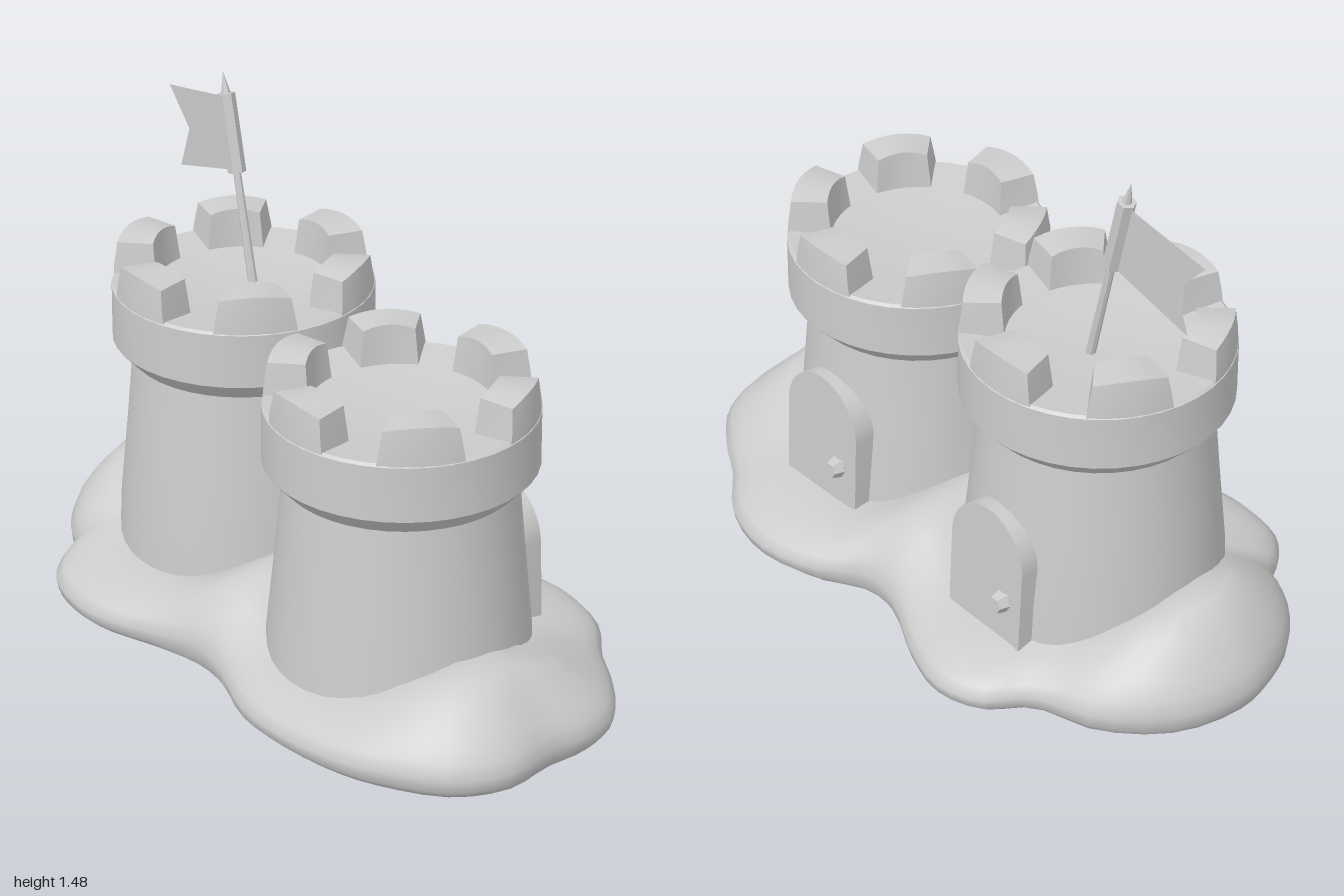
import * as THREE from 'three';
import { toCreasedNormals } from 'three/addons/utils/BufferGeometryUtils.js';

const stone = new THREE.MeshStandardMaterial({ color: 0xcccccc, side: THREE.DoubleSide });
stone.name = 'pale grey';

function part(name, geometry, parent, crease = 0.7) {
  const mesh = new THREE.Mesh(toCreasedNormals(geometry, crease), stone);
  mesh.name = name;
  parent.add(mesh);
  return mesh;
}

// Ground outline as x, z pairs
const OUTLINE = [
  0, -1, 0.2, -0.95, 0.36, -0.8, 0.43, -0.62, 0.54, -0.53, 0.58, -0.4, 0.54, -0.25, 0.46, -0.08,
  0.45, 0.05, 0.53, 0.2, 0.57, 0.38, 0.53, 0.55, 0.43, 0.68, 0.36, 0.8, 0.25, 0.93, 0.13, 0.97,
  0, 0.97, -0.15, 0.99, -0.3, 0.93, -0.42, 0.78, -0.48, 0.65, -0.52, 0.45, -0.52, 0.3, -0.47, 0.13,
  -0.46, 0, -0.5, -0.15, -0.57, -0.33, -0.58, -0.45, -0.55, -0.58, -0.48, -0.66, -0.41, -0.7,
  -0.36, -0.8, -0.25, -0.92, -0.12, -0.98,
];

// Mound height: low beside the doors, swelling in front, between and behind
function moundHeight(x, z) {
  const bump = (cx, cz, h, w, d) => h * Math.exp(-(((x - cx) / w) ** 2) - ((z - cz) / d) ** 2);
  return 0.135 + bump(-0.08, 0.76, 0.12, 0.3, 0.2) + bump(0, 0, 0.125, 0.6, 0.15)
    + bump(-0.03, -0.8, 0.155, 0.36, 0.2);
}

function moundGeometry() {
  const pts = [];
  for (let i = 0; i < OUTLINE.length; i += 2) pts.push(new THREE.Vector3(OUTLINE[i], 0, OUTLINE[i + 1]));
  const edge = new THREE.CatmullRomCurve3(pts, true).getPoints(96).slice(0, 96);
  const n = edge.length;
  // Each ring: inset towards the spine, share of the mound height
  const rings = [[1, 0], [0.04, 0], [0.01, 0.12], [0, 0.35], [0.04, 0.55], [0.1, 0.7],
    [0.18, 0.82], [0.28, 0.93], [0.4, 1], [0.6, 1], [1, 1]];
  const pos = [], index = [];
  rings.forEach(([inset, share], r) => edge.forEach((p, i) => {
    const x = THREE.MathUtils.lerp(p.x, -0.02, inset);
    const z = THREE.MathUtils.lerp(p.z, p.z * 0.6, inset);
    pos.push(x, share * moundHeight(x, z), z);
    if (r === 0) return;
    const a = (r - 1) * n + i, b = (r - 1) * n + (i + 1) % n;
    index.push(a, a + n, b, b, a + n, b + n);
  }));
  const g = new THREE.BufferGeometry();
  g.setAttribute('position', new THREE.Float32BufferAttribute(pos, 3));
  g.setIndex(index);
  return g;
}

const lathe = (profile) => new THREE.LatheGeometry(profile.map(([r, y]) => new THREE.Vector2(r, y)), 40);

// Block bent round the tower rim, narrowing upwards
function merlonGeometry(angle) {
  const g = new THREE.BoxGeometry(1, 1, 1, 6, 2, 1);
  const p = g.attributes.position;
  for (let i = 0; i < p.count; i++) {
    const up = p.getY(i) + 0.5, outer = p.getZ(i) > 0;
    const a = angle + p.getX(i) * 2 * (0.335 - 0.055 * up);
    const r = outer ? 0.369 - 0.012 * up * up : 0.245 + 0.01 * up;
    const crown = 0.012 * (1 - 4 * p.getX(i) ** 2) * up;
    p.setXYZ(i, r * Math.sin(a), 0.81 + 0.13 * up + crown, r * Math.cos(a));
  }
  return g;
}

function tower(name, x, z, lift) {
  const g = new THREE.Group();
  g.name = name;
  g.position.set(x, lift, z);
  part('towerWall', lathe([[0.372, 0.04 - lift], [0.362, 0.18], [0.337, 0.42], [0.315, 0.65]]), g);
  part('towerCrown', lathe([[0.28, 0.635], [0.325, 0.638], [0.372, 0.69], [0.37, 0.845],
    [0.362, 0.852], [0.25, 0.838], [0.12, 0.825], [0, 0.82]]), g, 0.6);
  for (let i = 0; i < 6; i++) part('merlon', merlonGeometry(Math.PI / 2 + i * Math.PI / 3), g, 0.5);
  return g;
}

// Arched door with a six-sided knob, facing +x
function door(name, x, z, half, knobZ) {
  const g = new THREE.Group();
  g.name = name;
  g.position.set(x, 0.1, z);
  g.rotation.z = 0.05;
  const s = new THREE.Shape();
  s.moveTo(-half, 0);
  s.lineTo(half, 0);
  s.lineTo(half, 0.27);
  s.absellipse(0, 0.27, half, 0.15, 0, Math.PI, false);
  s.closePath();
  const panel = new THREE.ExtrudeGeometry(s, { depth: 0.12, bevelEnabled: false, curveSegments: 10 });
  part('doorPanel', panel.translate(0, 0, -0.12).rotateY(Math.PI / 2), g);
  const knob = new THREE.CylinderGeometry(0.024, 0.032, 0.03, 6).rotateZ(-Math.PI / 2);
  part('doorKnob', knob, g, 0.3).position.set(0.03, 0.17, knobZ - z);
  const stem = new THREE.CylinderGeometry(0.015, 0.015, 0.04, 6).rotateZ(-Math.PI / 2);
  part('knobStem', stem, g, 0.3).position.set(0.005, 0.17, knobZ - z);
  return g;
}

function flag() {
  const g = new THREE.Group();
  g.name = 'flag';
  // Leaning pole with a thicker sleeve and a pointed tip
  const pole = new THREE.Group();
  pole.name = 'flagPole';
  pole.position.set(0.035, 0.85, -0.4);
  pole.rotation.x = -0.22;
  g.add(pole);
  part('poleShaft', new THREE.CylinderGeometry(0.011, 0.014, 0.4, 8), pole).position.y = 0.2;
  part('poleSleeve', new THREE.CylinderGeometry(0.026, 0.026, 0.225, 6), pole, 0.3).position.y = 0.472;
  part('poleTip', new THREE.ConeGeometry(0.014, 0.065, 6), pole, 0.3).position.y = 0.615;
  // Swallow-tailed cloth
  const s = new THREE.Shape([[0.52, 1.41], [0.81, 1.36], [0.715, 1.255], [0.76, 1.13], [0.48, 1.205]]
    .map(([a, b]) => new THREE.Vector2(a, b)));
  part('flagCloth', new THREE.ShapeGeometry(s).rotateY(Math.PI / 2), g).position.x = 0.037;
  return g;
}

export function createModel() {
  const model = new THREE.Group();
  model.name = 'sandCastle';
  part('mound', moundGeometry(), model, 1.0);
  model.add(
    tower('frontTower', -0.04, 0.37, 0),
    tower('backTower', -0.01, -0.39, 0.07),
    door('frontDoor', 0.345, 0.37, 0.15, 0.28),
    door('backDoor', 0.385, -0.375, 0.14, -0.46),
    flag(),
  );
  return model;
}
